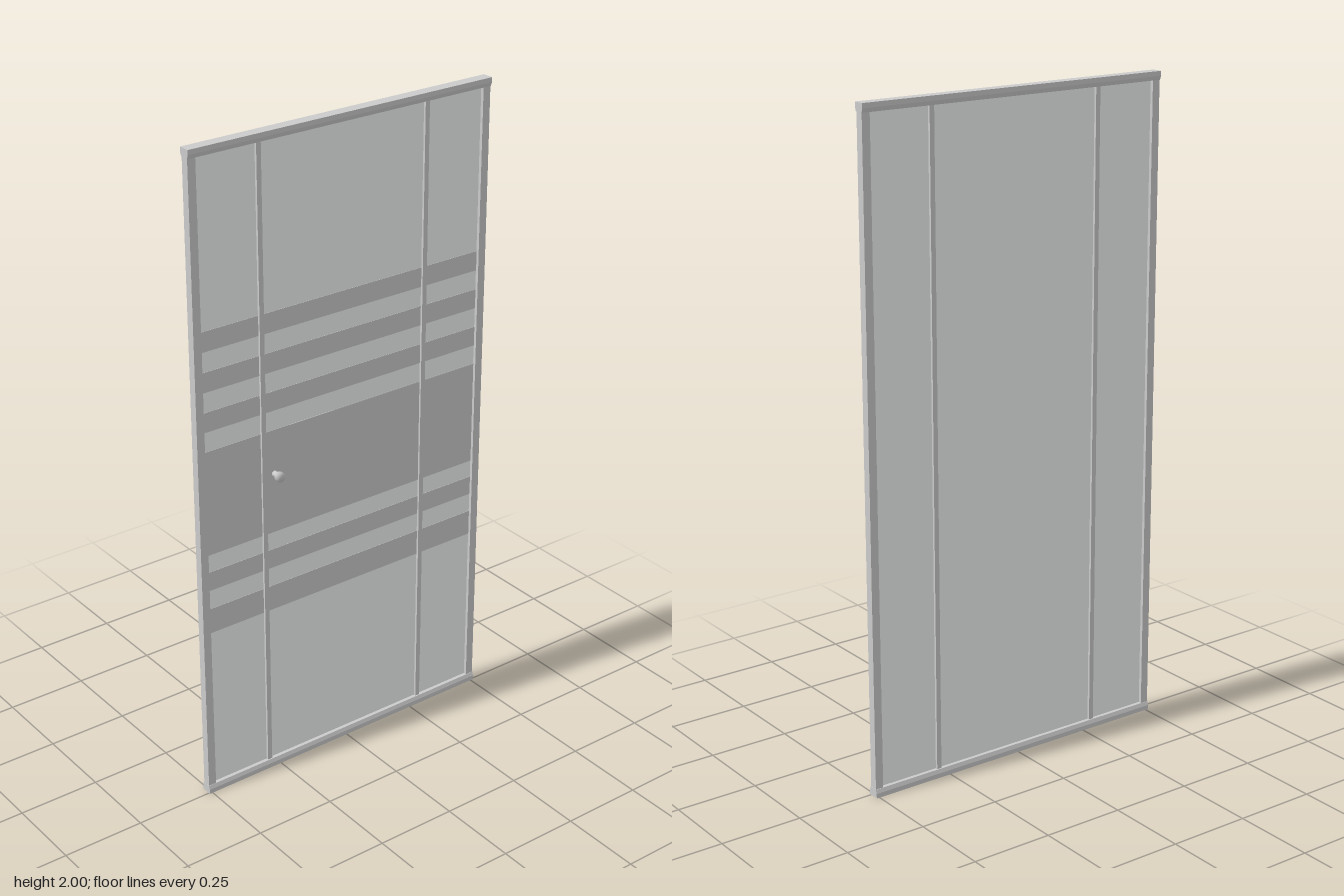
import * as THREE from 'three';

const MID_Z = -0.0125; // centre plane of the frame

export function createModel() {
  const group = new THREE.Group();
  const metal = new THREE.MeshStandardMaterial({ color: 0xcccccc });
  const glassMat = new THREE.MeshStandardMaterial({ color: 0xf0f5f4 });
  const bandMat = new THREE.MeshStandardMaterial({ color: 0xdce0de });

  const add = (name, geometry, material, x, y, z) => {
    const mesh = new THREE.Mesh(geometry, material);
    mesh.name = name;
    mesh.position.set(x, y, z);
    group.add(mesh);
    return mesh;
  };

  // Top and bottom rails: full depth outside, tapering towards the glass
  const makeRail = (name, y, dir) => {
    const profile = new THREE.Shape([
      [-0.0175, 0], [0.0175, 0], [0.0175, 0.014], [0.0135, 0.026], [-0.0135, 0.026], [-0.0175, 0.014],
    ].map(([z, h]) => new THREE.Vector2(z, h * dir)));
    const geo = new THREE.ExtrudeGeometry(profile, { depth: 1.02, bevelEnabled: false });
    geo.rotateY(Math.PI / 2).translate(-0.51, 0, 0);
    add(name, geo, metal, 0, y, MID_Z);
  };
  makeRail('bottomRail', 0, 1);
  makeRail('topRail', 2, -1);

  // Side jambs and the slim uprights between the panels
  for (const [side, s] of [['left', 1], ['right', -1]]) {
    add(side + 'Jamb', new THREE.BoxGeometry(0.025, 1.96, 0.025), metal, s * 0.4965, 1, MID_Z);
    add(side + 'Upright', new THREE.BoxGeometry(0.015, 1.95, 0.02), metal, s * 0.285, 1, MID_Z);
  }

  // Glass sheet
  add('glass', new THREE.BoxGeometry(0.98, 1.96, 0.005), glassMat, 0, 1, MID_Z);

  // Frosted bands on the front of the glass
  const bands = [[0.54, 0.62], [0.68, 0.74], [0.795, 1.12], [1.18, 1.24], [1.3, 1.36], [1.42, 1.48]];
  for (const [low, high] of bands) {
    add('frostedBand', new THREE.BoxGeometry(0.97, high - low, 0.001), bandMat, 0, (low + high) / 2, MID_Z + 0.003);
  }

  // Door knob: a stem widening into a round head
  const knobProfile = [[0, -0.012], [0.009, -0.012], [0.009, 0.012], [0.015, 0.012], [0.015, 0.024], [0, 0.024]];
  const knob = new THREE.LatheGeometry(knobProfile.map(([r, h]) => new THREE.Vector2(r, h)), 24);
  knob.rotateX(Math.PI / 2);
  add('knob', knob, metal, -0.247, 0.983, 0);

  return group;
}
